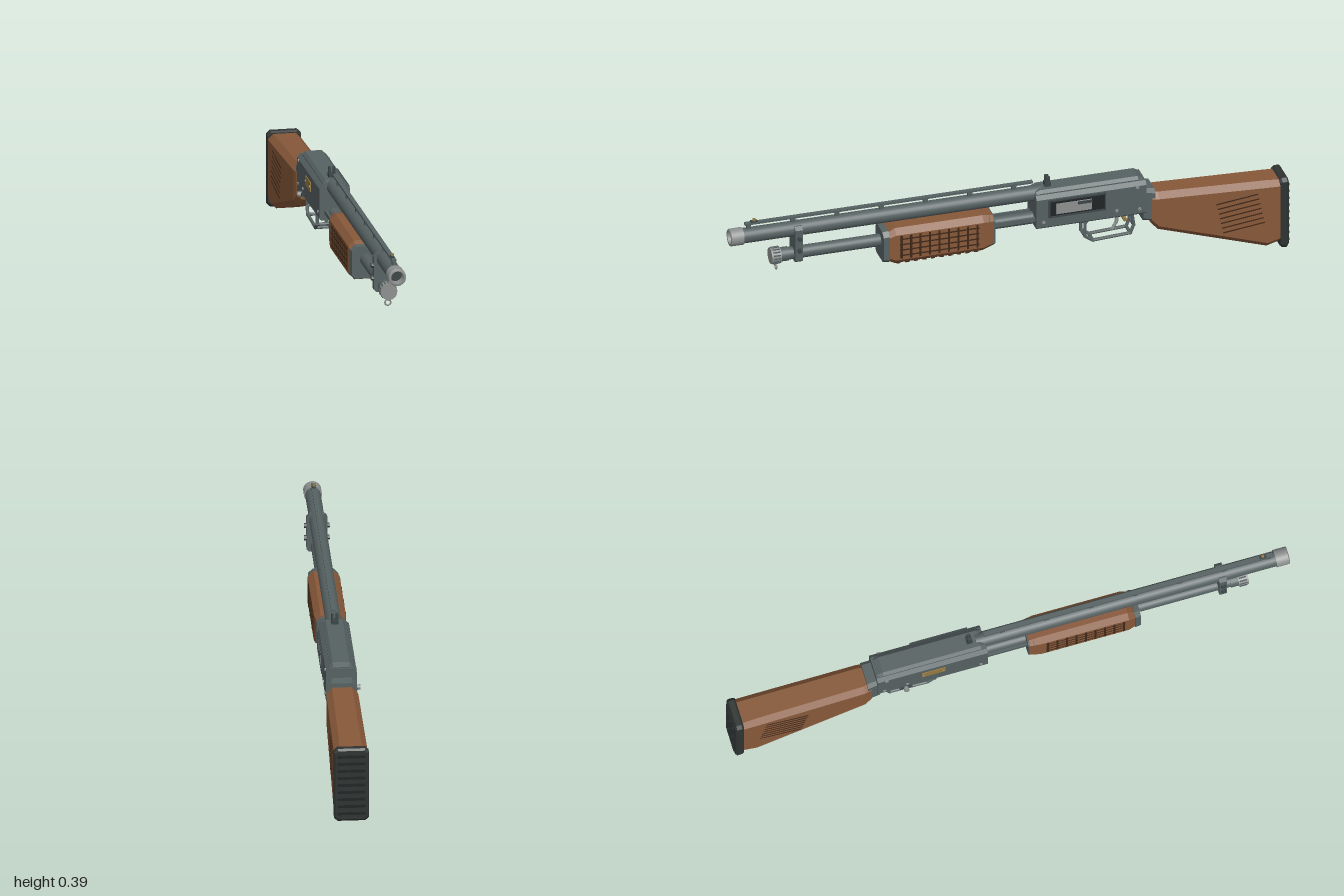
import * as THREE from 'three';

const material = (color) => new THREE.MeshStandardMaterial({ color, flatShading: true });
const smooth = (color) => new THREE.MeshStandardMaterial({ color });

export function createModel() {
  const model = new THREE.Group();
  const body = new THREE.Group();
  body.name = 'pumpGun';
  body.position.x = 0.003;
  model.add(body);

  const steel = material(0x566162), roundSteel = smooth(0x566162), darkSteel = material(0x3c4547);
  const bright = material(0x8c908e), roundBright = smooth(0x8c908e), black = material(0x1f2424);
  const wood = material(0x875839), groove = material(0x402818), rubber = material(0x2e3332), brass = material(0x94793f);

  const add = (name, geometry, mat, x = 0, y = 0, z = 0) => {
    const mesh = new THREE.Mesh(geometry, mat);
    mesh.name = name;
    mesh.position.set(x, y, z);
    body.add(mesh);
    return mesh;
  };
  const box = (name, mat, w, h, d, x, y, z) => add(name, new THREE.BoxGeometry(w, h, d), mat, x, y, z);
  // cylinder along z from z0 to z1
  const rodZ = (name, mat, r, y, z0, z1, sides = 24) =>
    add(name, new THREE.CylinderGeometry(r, r, Math.abs(z1 - z0), sides).rotateX(Math.PI / 2), mat, 0, y, (z0 + z1) / 2);
  // cylinder along x
  const rodX = (name, mat, r, length, x, y, z, sides = 12) =>
    add(name, new THREE.CylinderGeometry(r, r, length, sides).rotateZ(Math.PI / 2), mat, x, y, z);
  // round bar between two points
  const bar = (name, mat, a, b, r) => {
    const from = new THREE.Vector3(...a), dir = new THREE.Vector3(...b).sub(from);
    const mesh = add(name, new THREE.CylinderGeometry(r, r, dir.length() + r, 8), mat);
    mesh.position.copy(from).addScaledVector(dir, 0.5);
    mesh.quaternion.setFromUnitVectors(new THREE.Vector3(0, 1, 0), dir.normalize());
  };
  // chamfered block through sections [z, bottom, top, half width, top chamfer, bottom chamfer], front to back
  const loft = (name, mat, sections) => {
    const rings = sections.map(([z, b, t, w, ct, cb]) => [
      [-w + cb, b, z], [w - cb, b, z], [w, b + cb, z], [w, t - ct, z],
      [w - ct, t, z], [-w + ct, t, z], [-w, t - ct, z], [-w, b + cb, z]]);
    const pos = [];
    const tri = (...corners) => corners.forEach((c) => pos.push(...c));
    for (let i = 0; i < rings.length - 1; i++) {
      for (let j = 0; j < 8; j++) {
        const k = (j + 1) % 8, p = rings[i], q = rings[i + 1];
        tri(p[j], q[j], p[k]);
        tri(p[k], q[j], q[k]);
      }
    }
    const first = rings[0], last = rings[rings.length - 1];
    for (let j = 1; j < 7; j++) {
      tri(first[0], first[j], first[j + 1]);
      tri(last[0], last[j + 1], last[j]);
    }
    const geometry = new THREE.BufferGeometry();
    geometry.setAttribute('position', new THREE.Float32BufferAttribute(pos, 3));
    geometry.computeVertexNormals();
    return add(name, geometry, mat);
  };

  // Barrel with a hollow muzzle
  const barrelY = 0.333, tubeY = 0.238;
  rodZ('barrel', roundSteel, 0.027, barrelY, -0.12, 0.96);
  const muzzle = [[0.022, 0.94], [0.022, 1], [0.022, 1], [0.029, 1], [0.031, 0.997], [0.031, 0.997], [0.031, 0.953], [0.031, 0.953], [0.025, 0.953]];
  add('muzzleCollar', new THREE.LatheGeometry(muzzle.map(([r, z]) => new THREE.Vector2(r, -z)), 32).rotateX(-Math.PI / 2),
    new THREE.MeshStandardMaterial({ color: 0x8c908e, side: THREE.DoubleSide }), 0, barrelY, 0);
  rodZ('bore', darkSteel, 0.022, barrelY, 0.93, 0.965);

  // Sighting rib on posts, with front and rear sights
  box('sightRib', steel, 0.016, 0.007, 1.035, 0, 0.378, 0.427);
  for (let i = 0; i < 7; i++) box('ribPost', steel, 0.011, 0.022, 0.016, 0, 0.367, 0.93 - i * 0.159);
  box('frontSightBase', darkSteel, 0.012, 0.008, 0.024, 0, 0.382, 0.91);
  add('frontSightBead', new THREE.CylinderGeometry(0.005, 0.006, 0.012, 10), brass, 0, 0.388, 0.91);
  box('rearSightBase', darkSteel, 0.024, 0.016, 0.02, 0, 0.363, -0.143);
  for (const s of [-1, 1]) box('rearSightBlade', darkSteel, 0.008, 0.025, 0.014, s * 0.008, 0.38, -0.143);

  // Magazine tube, ribbed cap and sling ring
  rodZ('magazineTube', roundSteel, 0.022, tubeY, -0.12, 0.83);
  rodZ('magazineCap', roundBright, 0.029, tubeY, 0.818, 0.853, 28);
  rodZ('capNeck', roundSteel, 0.025, tubeY, 0.79, 0.82);
  for (let i = 0; i < 16; i++) {
    const a = i / 16 * Math.PI * 2;
    box('capRib', steel, 0.004, 0.004, 0.026, Math.cos(a) * 0.0285, tubeY + Math.sin(a) * 0.0285, 0.834);
  }
  add('slingRing', new THREE.TorusGeometry(0.01, 0.0028, 8, 20), roundBright, 0, 0.195, 0.832);

  // Clamp joining barrel and tube
  loft('barrelClamp', steel, [[0.772, 0.215, 0.352, 0.036, 0.012, 0.008], [0.745, 0.215, 0.352, 0.036, 0.012, 0.008]]);
  for (const y of [0.262, 0.308]) rodX('clampBolt', darkSteel, 0.009, 0.088, 0, y, 0.758, 6);

  // Pump grip with chequered sides and a ribbed belly
  loft('pumpGrip', wood, [
    [0.455, 0.178, 0.272, 0.047, 0.014, 0.014], [0.415, 0.158, 0.295, 0.055, 0.02, 0.02],
    [0.1, 0.158, 0.295, 0.055, 0.02, 0.02], [0.062, 0.172, 0.288, 0.05, 0.016, 0.016]]);
  loft('pumpFrontCollar', steel, [[0.459, 0.17, 0.285, 0.05, 0.016, 0.012], [0.438, 0.168, 0.288, 0.053, 0.016, 0.012]]);
  loft('pumpRearCollar', steel, [[0.078, 0.168, 0.29, 0.052, 0.016, 0.014], [0.057, 0.174, 0.284, 0.049, 0.016, 0.014]]);
  for (const s of [-1, 1]) {
    for (let i = 0; i < 9; i++) box('pumpSideGroove', groove, 0.004, 0.088, 0.007, s * 0.0545, 0.227, 0.396 - i * 0.034);
    for (let i = 0; i < 4; i++) box('pumpLongGroove', groove, 0.003, 0.005, 0.285, s * 0.0545, 0.195 + i * 0.021, 0.26);
    box('actionBar', roundSteel, 0.008, 0.014, 0.22, s * 0.032, 0.247, -0.01);
  }
  for (let i = 0; i < 10; i++) box('pumpBellyRib', groove, 0.066, 0.008, 0.014, 0, 0.157, 0.4 - i * 0.031);

  // Receiver with a narrower chamfered top
  loft('receiver', steel, [[-0.09, 0.216, 0.342, 0.053, 0.013, 0.006], [-0.485, 0.216, 0.342, 0.053, 0.013, 0.006]]);
  loft('receiverTop', steel, [
    [-0.095, 0.33, 0.35, 0.036, 0.008, 0], [-0.11, 0.33, 0.356, 0.039, 0.01, 0],
    [-0.46, 0.33, 0.356, 0.039, 0.01, 0], [-0.48, 0.33, 0.346, 0.036, 0.008, 0]]);
  loft('rearTang', steel, [[-0.475, 0.185, 0.31, 0.047, 0.012, 0.01], [-0.518, 0.178, 0.302, 0.05, 0.014, 0.01]]);

  // Ejection port and bolt on the left side
  box('ejectionPort', black, 0.006, 0.062, 0.198, 0.053, 0.291, -0.235);
  for (const y of [0.322, 0.26]) box('portRim', darkSteel, 0.01, 0.005, 0.204, 0.055, y, -0.235);
  for (const z of [-0.135, -0.335]) box('portRim', darkSteel, 0.01, 0.066, 0.005, 0.055, 0.291, z);
  box('bolt', bright, 0.006, 0.04, 0.128, 0.056, 0.289, -0.223);
  box('extractor', darkSteel, 0.005, 0.01, 0.05, 0.06, 0.302, -0.262);

  // Brass plate, release knob and pins
  box('sidePlate', brass, 0.004, 0.034, 0.085, -0.054, 0.292, -0.285);
  for (const z of [-0.25, -0.32]) rodX('plateScrew', bright, 0.004, 0.007, -0.055, 0.292, z);
  rodX('releaseKnob', roundBright, 0.009, 0.016, -0.064, 0.225, -0.385);
  box('releaseLever', darkSteel, 0.006, 0.009, 0.045, -0.057, 0.227, -0.385);
  for (const [y, z] of [[0.242, -0.115], [0.325, -0.452], [0.246, -0.378], [0.24, -0.46]])
    rodX('receiverPin', bright, 0.006, 0.112, 0, y, z);

  // Loading gate underneath
  box('loadingPort', black, 0.066, 0.006, 0.15, 0, 0.215, -0.23);
  box('loadingGate', darkSteel, 0.05, 0.006, 0.125, 0, 0.21, -0.225);

  // Trigger guard frame and trigger
  const guard = [[0.216, -0.285], [0.198, -0.272], [0.148, -0.272], [0.128, -0.3], [0.135, -0.435], [0.165, -0.447], [0.216, -0.44]];
  guard.forEach(([y, z], i) => {
    rodX('guardCrossbar', steel, 0.006, 0.056, 0, y, z, 8);
    if (i) for (const s of [-1, 1])
      bar('guardSide', steel, [s * 0.025, ...guard[i - 1]], [s * 0.025, y, z], 0.006);
  });
  bar('trigger', bright, [0, 0.215, -0.398], [0, 0.172, -0.392], 0.007);
  bar('trigger', bright, [0, 0.172, -0.392], [0, 0.148, -0.378], 0.006);
  rodX('safetyButton', brass, 0.007, 0.06, 0, 0.192, -0.415);

  // Stock with slanting grip lines
  loft('stock', wood, [
    [-0.505, 0.168, 0.288, 0.05, 0.02, 0.018], [-0.53, 0.14, 0.286, 0.055, 0.02, 0.02],
    [-0.92, 0.013, 0.27, 0.058, 0.02, 0.02], [-0.975, 0.03, 0.266, 0.058, 0.018, 0.018]]);
  for (const s of [-1, 1]) {
    for (let i = 0; i < 7; i++) {
      const line = box('stockGripLine', groove, 0.003, 0.004, 0.15, s * 0.0575, 0.222 - i * 0.019, -0.81 - i * 0.004);
      line.rotation.x = 0.12;
    }
  }

  // Butt pad with ribs across the back
  loft('buttPad', rubber, [
    [-0.965, 0.012, 0.27, 0.058, 0.012, 0.012], [-0.972, 0.004, 0.275, 0.06, 0.012, 0.012],
    [-0.99, 0.002, 0.275, 0.06, 0.012, 0.012], [-0.996, 0.01, 0.268, 0.055, 0.01, 0.01]]);
  for (let i = 0; i < 9; i++) box('padRib', black, 0.096, 0.009, 0.008, 0, 0.032 + i * 0.0268, -0.996);

  return model;
}
